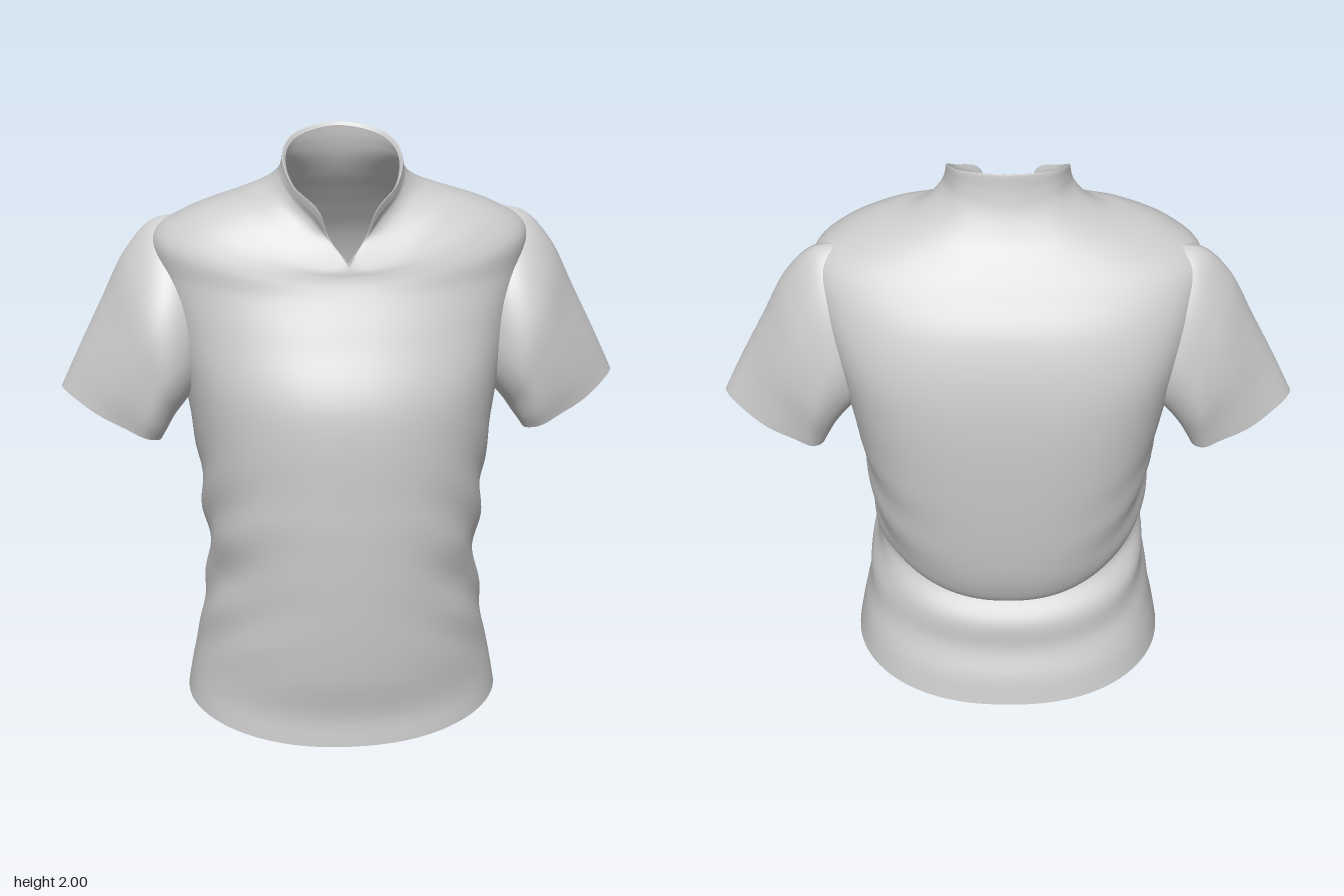
import * as THREE from 'three';

const COLS = 128;
const smooth = THREE.MathUtils.smoothstep;

// Smooth skin through closed key rings; each key is a function angle -> Vector3
function loft(keys, rows, material, flip, displace) {
  const pos = [], index = [];
  const columns = [];
  for (let c = 0; c < COLS; c++) {
    const a = (c / COLS) * Math.PI * 2;
    columns.push({ a, curve: new THREE.CatmullRomCurve3(keys.map(k => k(a))) });
  }
  for (let r = 0; r <= rows; r++) {
    for (const { a, curve } of columns) {
      const p = curve.getPoint(r / rows);
      displace(p, a, r / rows);
      pos.push(p.x, p.y, p.z);
    }
  }
  for (let r = 0; r < rows; r++) {
    for (let c = 0; c < COLS; c++) {
      const n = (c + 1) % COLS;
      const p = r * COLS + c, q = r * COLS + n, s = p + COLS, t = q + COLS;
      if (flip) index.push(p, s, q, q, s, t);
      else index.push(p, q, s, q, t, s);
    }
  }
  const g = new THREE.BufferGeometry();
  g.setAttribute('position', new THREE.Float32BufferAttribute(pos, 3));
  g.setIndex(index);
  g.computeVertexNormals();
  return new THREE.Mesh(g, material);
}

// Torso ring: heights at front, side and back, half width, front and back depth.
// The sides shift back at the armholes and the back is squarer across the shoulder blades.
function bodyRing([yf, ys, yb, w, zf, zb]) {
  const zc = -0.08 * smooth(ys, 0.85, 1.4) * (1 - smooth(ys, 1.6, 1.83));
  const n = 2.3 + 0.4 * smooth(ys, 0.55, 1) - 0.7 * smooth(ys, 1.35, 1.8);
  return a => {
    const s = Math.sin(a), c = Math.cos(a);
    const e = 2 / (c > 0 ? 2.2 : n);
    const x = Math.sign(s) * w * Math.abs(s) ** e;
    const z = zc + ((c > 0 ? zf : zb) - zc) * Math.abs(c) ** e;
    return new THREE.Vector3(x, ys + ((c > 0 ? yf : yb) - ys) * c * c, z);
  };
}

// Neck ring: half outline from front centre to back centre, mirrored across x
function neckRing(points) {
  const half = points.map(p => new THREE.Vector3(...p));
  // a mirrored point past the back centre keeps the nape round
  const [bx, by, bz] = points[points.length - 2];
  half.push(new THREE.Vector3(-bx, by, bz));
  const curve = new THREE.CatmullRomCurve3(half);
  const span = (points.length - 1) / points.length;
  return a => {
    const left = a <= Math.PI;
    const p = curve.getPoint(((left ? a : Math.PI * 2 - a) / Math.PI) * span);
    if (!left) p.x = -p.x;
    return p;
  };
}

// Diagonal drape folds, falling from the chest towards the small of the back
function drape(p, a) {
  const c = Math.cos(a), s = Math.sin(a);
  const line = 0.62 + (c > 0 ? 0.4 : 0.2) * c;
  const mask = smooth(p.y, 0.15, 0.45) * (1 - smooth(p.y, 0.8, 1.15));
  const fold = Math.sin((p.y - line) * 27 + 1.5 * s) * 0.007 * mask * s * s;
  p.x += s * fold;
  p.z += c * fold;
}

export function createModel() {
  const model = new THREE.Group();
  model.name = 'shirt';
  const fabric = new THREE.MeshStandardMaterial({ color: 0xcccccc, side: THREE.DoubleSide });
  fabric.name = 'light grey fabric';

  // Hem and waist with the back bagging over a crease, then chest and sloping shoulders
  const torsoRings = [
    [0, 0.05, 0, 0.53, 0.4, -0.4],
    [0.1, 0.14, 0.1, 0.515, 0.395, -0.38],
    [0.25, 0.28, 0.2, 0.487, 0.422, -0.342],
    [0.42, 0.42, 0.31, 0.467, 0.44, -0.333],
    [0.55, 0.55, 0.415, 0.45, 0.449, -0.272],
    [0.62, 0.61, 0.43, 0.451, 0.453, -0.335],
    [0.72, 0.71, 0.53, 0.464, 0.457, -0.388],
    [0.85, 0.85, 0.75, 0.472, 0.459, -0.43],
    [1.2, 1.2, 1.2, 0.525, 0.44, -0.46],
    [1.4, 1.4, 1.4, 0.57, 0.347, -0.44],
    [1.53, 1.55, 1.55, 0.605, 0.28, -0.39],
    [1.57, 1.665, 1.66, 0.61, 0.262, -0.32],
    [1.59, 1.738, 1.74, 0.52, 0.256, -0.262],
    [1.608, 1.8, 1.81, 0.36, 0.253, -0.21],
  ].map(bodyRing);

  // Stand collar, tall behind and notched in front, with a turned-in edge
  const neckline = neckRing([
    [0, 1.625, 0.25], [0.062, 1.7, 0.205], [0.11, 1.755, 0.18], [0.175, 1.82, 0.12],
    [0.208, 1.875, 0.02], [0.155, 1.89, -0.11], [0, 1.88, -0.172],
  ]);
  const rim = neckRing([
    [0, 1.632, 0.25], [0.057, 1.705, 0.205], [0.092, 1.8, 0.215], [0.168, 1.865, 0.132],
    [0.19, 1.935, 0.02], [0.142, 1.978, -0.09], [0, 2, -0.145],
  ]);
  const stand = a => {
    const low = neckline(a), p = low.clone().lerp(rim(a), 0.65);
    p.y = (low.y + rim(a).y) / 2;
    return p;
  };
  const turnIn = a => {
    const p = rim(a);
    return p.set(p.x * 0.95, p.y - 0.012 * smooth(p.y, 1.63, 1.75), 0.02 + (p.z - 0.02) * 0.95);
  };

  const body = loft([...torsoRings, neckline, stand, rim, turnIn], 170, fabric, false, drape);
  body.name = 'torsoAndCollar';
  model.add(body);

  // Sleeve keys: upper edge x, y, lower edge x, y, front z, back z, pinch of the upper edge
  const sleeveRings = [
    [0.5, 1.72, 0.44, 1.21, 0.1, -0.24, 0.1],
    [0.61, 1.7, 0.475, 1.16, 0.155, -0.28, 0.14],
    [0.7, 1.605, 0.515, 1.11, 0.18, -0.285, 0.14],
    [0.785, 1.435, 0.547, 1.07, 0.17, -0.275, 0.16],
    [0.865, 1.27, 0.575, 1.03, 0.15, -0.25, 0.22],
    [0.925, 1.14, 0.6, 1, 0.125, -0.235, 0.28],
  ];
  for (const side of [1, -1]) {
    const rings = sleeveRings.map(([tx, ty, bx, by, zf, zb, pinch]) => a => {
      const s = Math.sin(a), c = Math.cos(a);
      const k = (1 - c) / 2 + pinch * s * s;
      const across = c > 0 ? s * Math.abs(s) ** 0.35 : s;
      return new THREE.Vector3(
        side * (tx + (bx - tx) * k),
        ty + (by - ty) * k,
        (zf + zb) / 2 + ((zf - zb) / 2) * across - 0.03 * Math.max(c, 0) ** 2,
      );
    });
    // Soft lengthwise folds along the sleeve
    const sleeve = loft(rings, 48, fabric, side < 0, (p, a, v) => {
      const f = 0.007 * v * (1 - v * 0.5) * Math.sin(a * 7 + v * 2) * Math.sin(a) ** 2;
      p.x += side * f;
      p.z += Math.sin(a) * f;
    });
    sleeve.name = side > 0 ? 'leftSleeve' : 'rightSleeve';
    model.add(sleeve);
  }
  return model;
}
